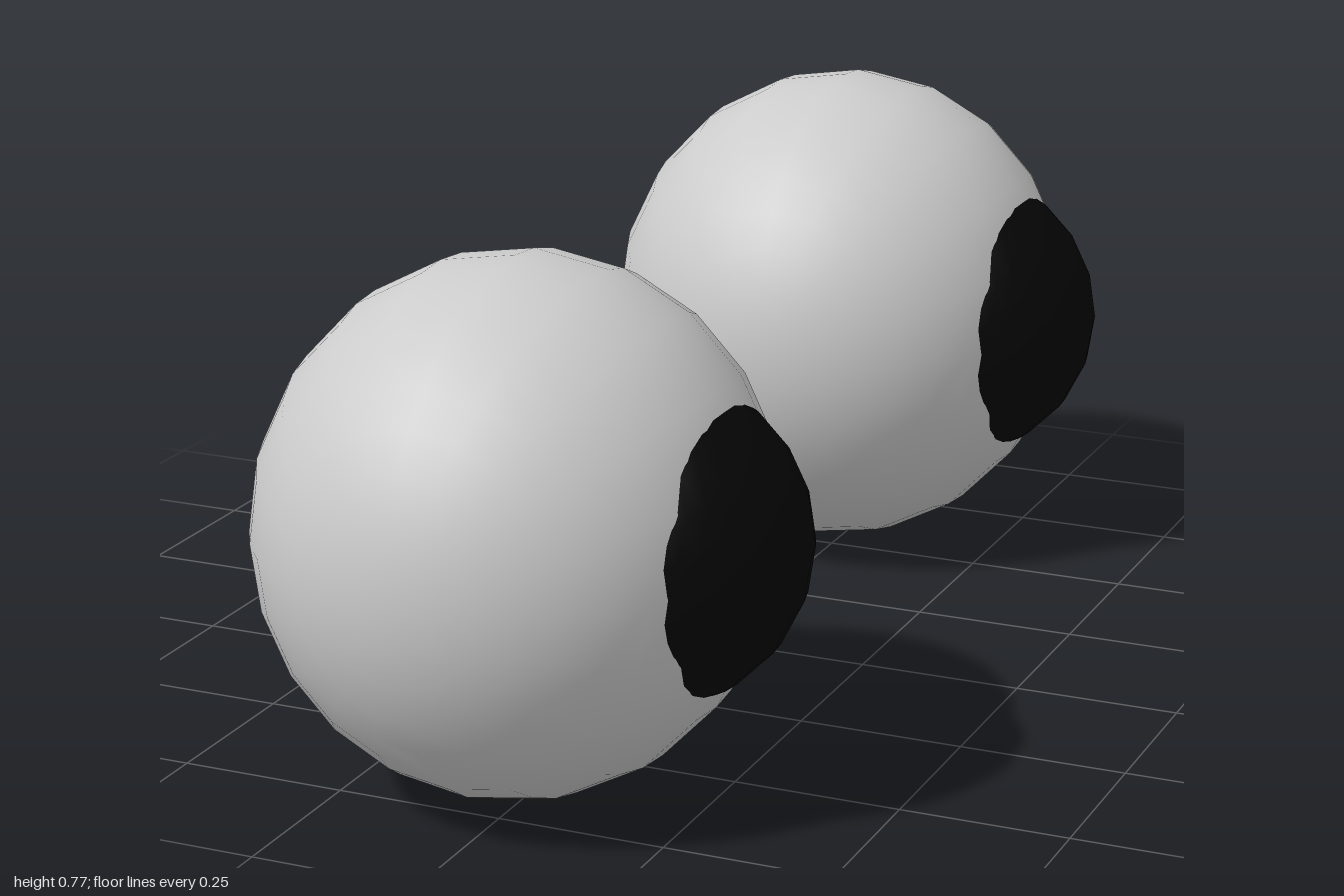
import * as THREE from 'three';

// Unit sphere with its poles along z
function sphere(name, color, radii, position) {
  const geometry = new THREE.SphereGeometry(1, 20, 20).rotateX(Math.PI / 2);
  const mesh = new THREE.Mesh(geometry, new THREE.MeshStandardMaterial({ color }));
  geometry.scale(...radii);
  mesh.position.set(...position);
  mesh.name = name;
  return mesh;
}

export function createModel() {
  const model = new THREE.Group();
  model.name = 'eyes';

  // A pair of eyes side by side along z, both looking towards +x
  for (const side of [1, -1]) {
    const eye = new THREE.Group();
    eye.name = side > 0 ? 'frontEye' : 'backEye';
    eye.position.set(0, 0.388, side * 0.614);
    eye.add(
      sphere('eyeball', 0xcccccc, [0.371, 0.387, 0.386], [-0.029, 0, 0]),
      sphere('pupil', 0x050505, [0.236, 0.236, 0.236], [0.163, 0.002, 0]),
    );
    model.add(eye);
  }
  return model;
}
